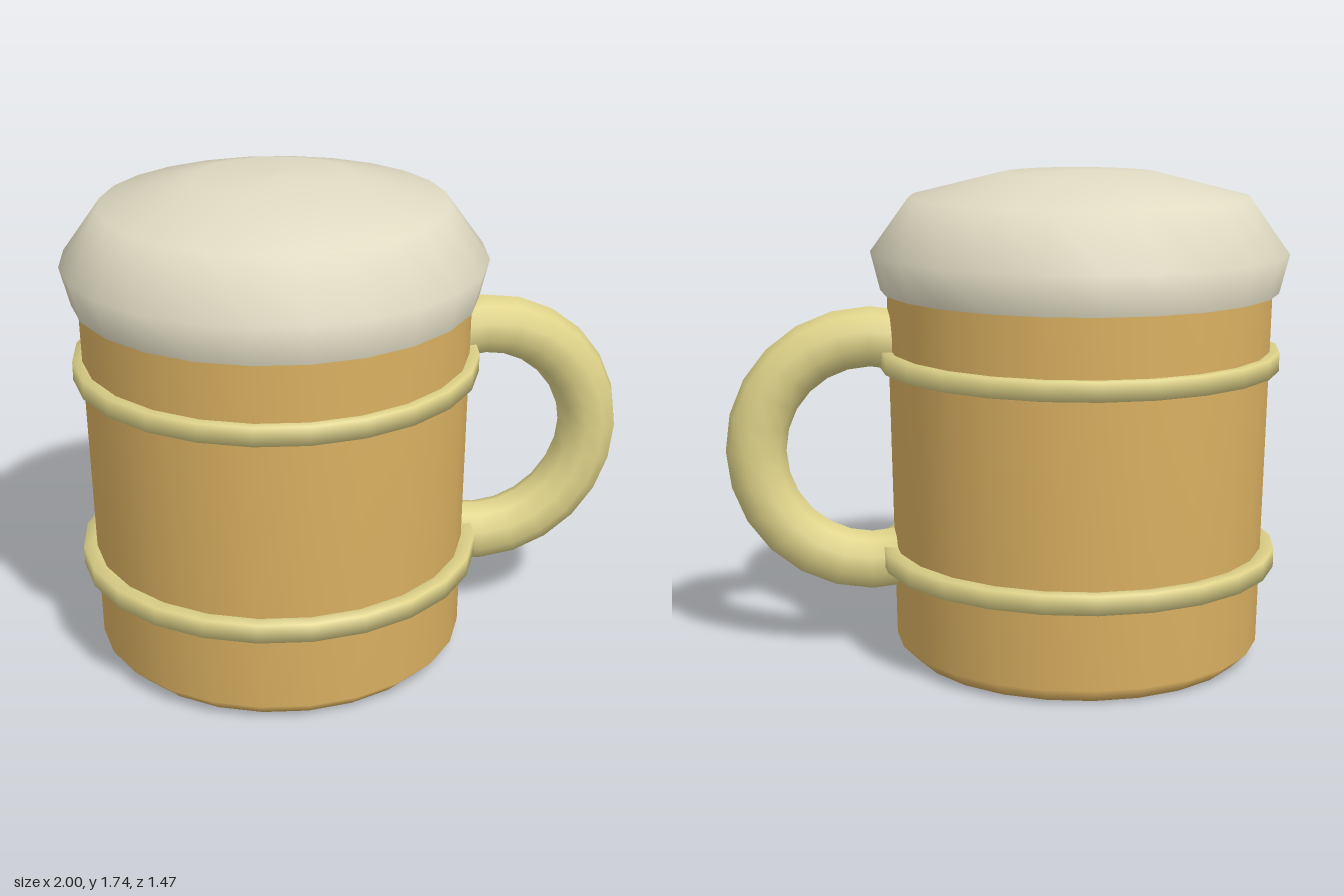
import * as THREE from 'three';

const SIDES = 24;
const CUP_X = -0.263;

function lathe(points) {
  return new THREE.LatheGeometry(points.map(([r, y]) => new THREE.Vector2(r, y)), SIDES);
}

export function createModel() {
  const wood = new THREE.MeshStandardMaterial({ color: 0xdcb262 });
  wood.name = 'amber wood';
  const trim = new THREE.MeshStandardMaterial({ color: 0xdfd389 });
  trim.name = 'pale trim';
  const cream = new THREE.MeshStandardMaterial({ color: 0xdfdac2 });
  cream.name = 'cream foam';

  const mug = new THREE.Group();
  mug.name = 'mug';
  const add = (name, geometry, material, x, y) => {
    const mesh = new THREE.Mesh(geometry, material);
    mesh.name = name;
    mesh.position.set(x, y, 0);
    mug.add(mesh);
  };

  // Tapered cup with a soft bevel at the foot
  add('cup', lathe([[0, 0], [0.6, 0], [0.656, 0.055], [0.681, 1.34]]), wood, CUP_X, 0);

  // Two square-section hoops; the profile seam is hidden on the inside
  const hoop = lathe([[0.645, 0], [0.645, -0.033], [0.711, -0.033], [0.711, 0.033], [0.645, 0.033], [0.645, 0]]);
  for (const [name, y] of [['lowerHoop', 0.368], ['upperHoop', 1.079]]) {
    add(name, hoop, trim, CUP_X, y);
  }

  // Domed foam overhanging the rim, with a crisp underside
  add('foam', lathe([[0.703, 1.318], [0.737, 1.455], [0.6, 1.645], [0.275, 1.727], [0, 1.738]]), cream, CUP_X, 0);
  add('foamUnderside', lathe([[0.6, 1.318], [0.703, 1.318]]), cream, CUP_X, 0);

  // Ring handle whose ends run into the cup wall
  const arc = Math.PI * 4 / 3;
  const handle = new THREE.TorusGeometry(0.41, 0.108, 10, 16, arc);
  handle.rotateZ(-arc / 2);
  add('handle', handle, trim, 0.48, 0.743);

  return mug;
}
